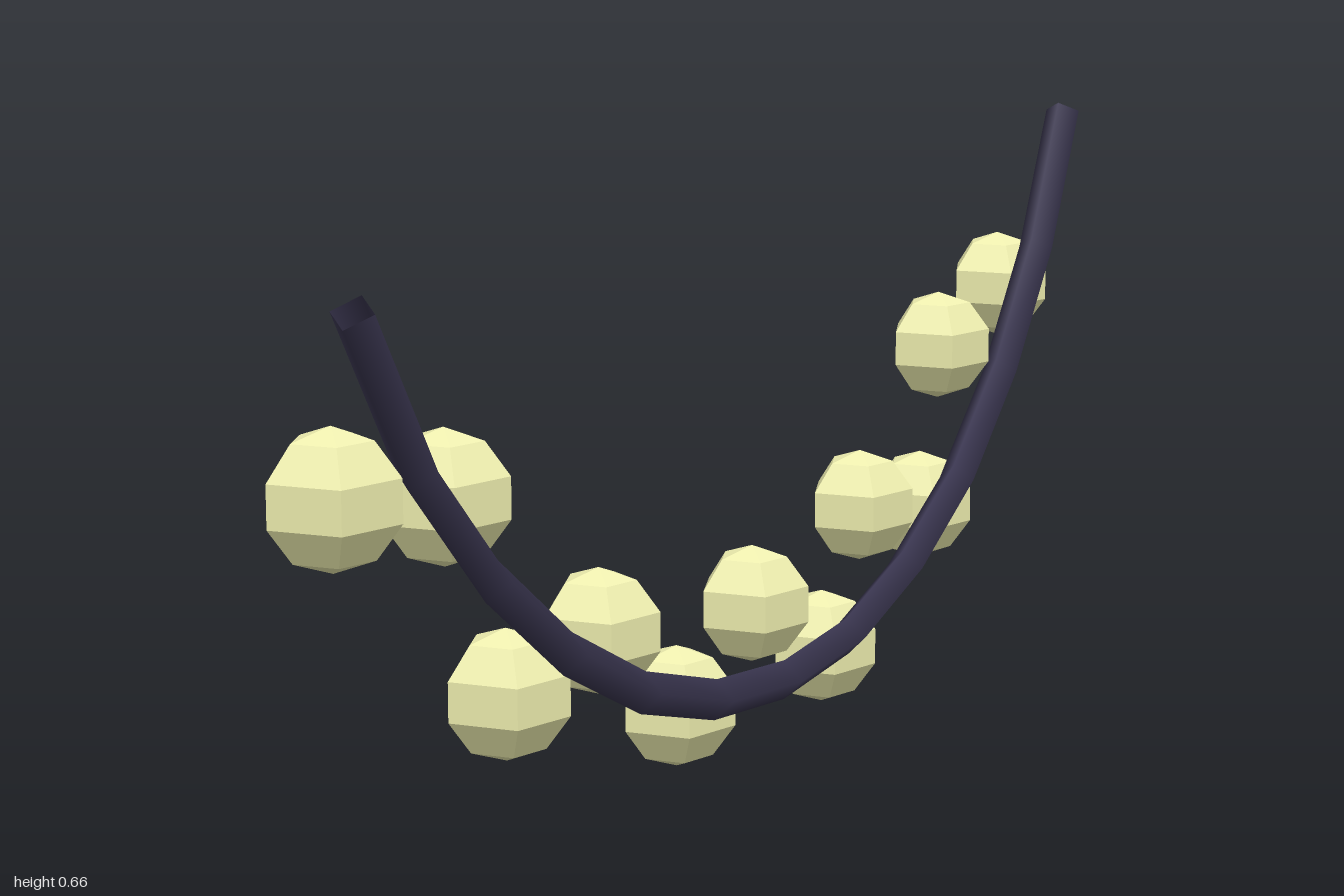
import * as THREE from 'three';

export function createModel() {
  const model = new THREE.Group();
  model.name = 'stringLights';

  // Sagging cable: four-sided tube along [z, y] points
  const path = [
    [0.982, 0.648], [0.861, 0.482], [0.706, 0.348], [0.535, 0.241], [0.348, 0.161],
    [0.155, 0.113], [-0.037, 0.095], [-0.235, 0.107], [-0.422, 0.155], [-0.594, 0.23],
    [-0.743, 0.337], [-0.872, 0.47], [-0.975, 0.637],
  ].map(([z, y]) => new THREE.Vector3(0.051, y, z));
  const cable = new THREE.Mesh(
    new THREE.TubeGeometry(new THREE.CatmullRomCurve3(path), 12, 0.022, 4),
    new THREE.MeshStandardMaterial({ color: 0x3a3650, side: THREE.DoubleSide })
  );
  cable.name = 'cable';
  model.add(cable);

  // Faceted bulbs beside the cable, alternating above and below, at [z, y]
  const bulbGeometry = new THREE.SphereGeometry(0.067, 5, 5).rotateY(-Math.PI / 2);
  const bulbMaterial = new THREE.MeshStandardMaterial({ color: 0xf0f0b0, flatShading: true });
  const bulbs = [
    [0.907, 0.466], [0.689, 0.428], [0.562, 0.207], [0.344, 0.223], [0.145, 0.096],
    [-0.068, 0.164], [-0.283, 0.067], [-0.407, 0.213], [-0.617, 0.175], [-0.681, 0.367],
    [-0.906, 0.415],
  ];
  bulbs.forEach(([z, y], i) => {
    const bulb = new THREE.Mesh(bulbGeometry, bulbMaterial);
    bulb.name = `bulb${i + 1}`;
    bulb.position.set(-0.0135, y, z);
    model.add(bulb);
  });

  return model;
}
